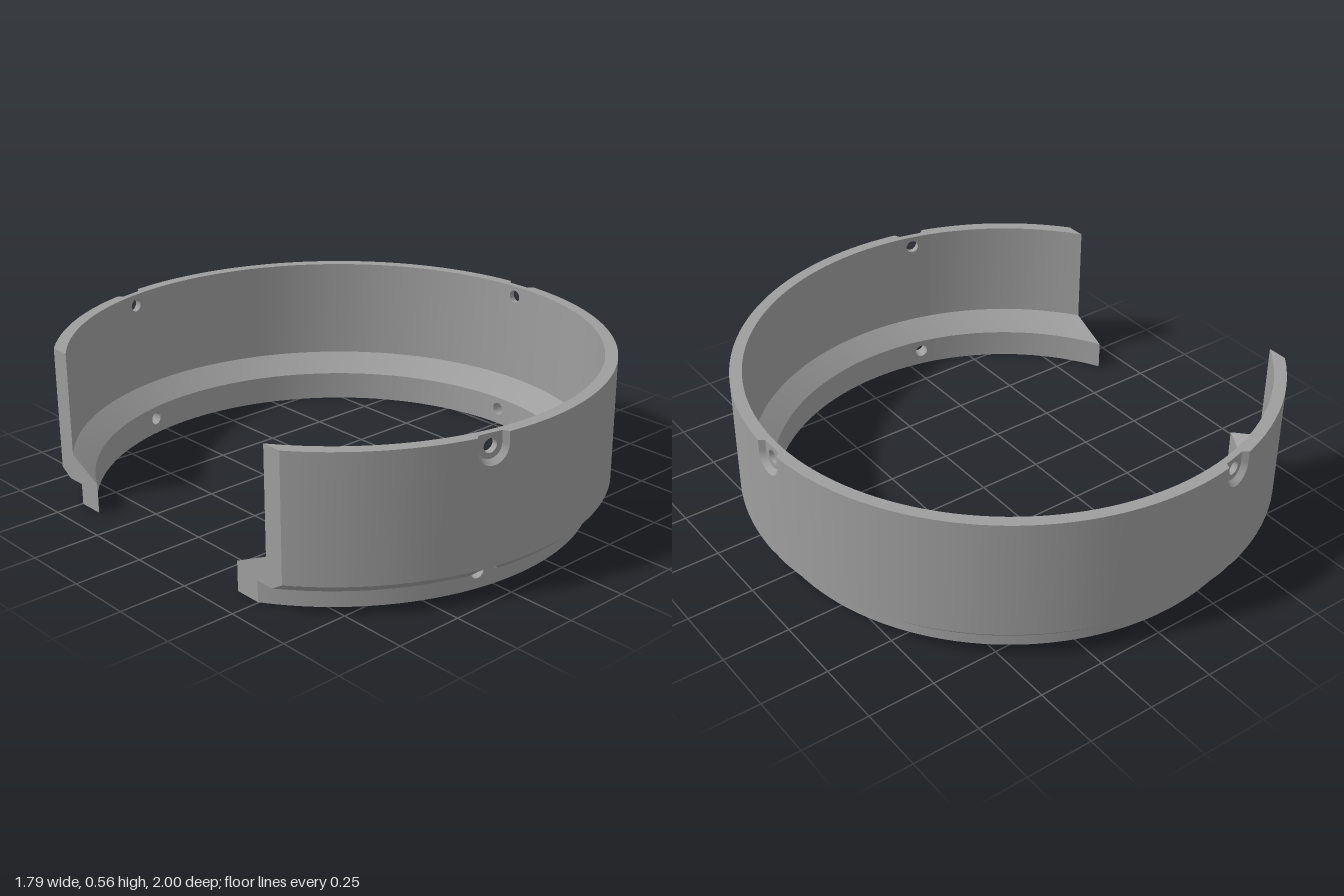
import * as THREE from 'three';

const CX = -0.107, CUT = -0.786;          // ring axis, and flat cut plane measured from it
const TOP = 0.565, W = 0.075;             // height, half angle of the panels around the screw holes
const Y0 = 0.078, Y1 = 0.108;             // chamfer bottom and top
const HOLE = 0.025, HIGH = 0.522, LOW = 0.062;
const HOLE_ANGLE = (2 * Math.PI) / 3.5;
// closed cross-section [radius, y]
const P = {
  lipIn: [0.88, 0], neckLow: [0.93, 0], neckTop: [0.93, Y0], shoulder: [0.97, Y0],
  wallLow: [1, Y1], wallTop: [1, TOP], rimIn: [0.955, TOP], coneTop: [0.955, 0.18], coneLow: [0.88, 0.11],
};
const LOOP = Object.values(P);
const mat = new THREE.MeshStandardMaterial({ color: 0x9e9e9e, side: THREE.DoubleSide });

function addMesh(parent, geo, name) {
  const m = new THREE.Mesh(geo, mat);
  m.name = name;
  parent.add(m);
}

// surface ruled between two rows of points
function strip(a, b) {
  const pos = [], idx = [];
  a.forEach((p, i) => {
    pos.push(...p, ...b[i]);
    if (i) { const k = 2 * i; idx.push(k - 2, k - 1, k, k, k - 1, k + 1); }
  });
  const g = new THREE.BufferGeometry();
  g.setAttribute('position', new THREE.Float32BufferAttribute(pos, 3));
  g.setIndex(idx);
  g.computeVertexNormals();
  return g;
}

const endAngle = r => Math.acos(CUT / r);

// revolve one edge of the cross-section; null stands for the flat cut
function arcSurface(p, q, from, to) {
  const n = Math.max(4, Math.ceil(((to ?? 2.4) - (from ?? -2.4)) / 0.045));
  const row = ([r, y]) => Array.from({ length: n + 1 }, (_, i) => {
    const t = THREE.MathUtils.lerp(from ?? -endAngle(r), to ?? endAngle(r), i / n);
    return [r * Math.cos(t), y, r * Math.sin(t)];
  });
  return strip(row(p), row(q));
}

const arc = (rad, cy, a0, a1, n) => Array.from({ length: n + 1 }, (_, i) => {
  const a = a0 + (a1 - a0) * i / n;
  return [rad * Math.cos(a), cy + rad * Math.sin(a)];
});
const line = (s0, s1, y) => Array.from({ length: 9 }, (_, i) => [s0 + (s1 - s0) * i / 8, y]);
const bend = r => s => Math.sqrt(r * r - s * s);
const edge = r => r * Math.sin(W);

// split a triangle at its edge midpoints so that it can follow a curve
function split([a, b, c]) {
  const mid = (p, q) => p.clone().lerp(q, 0.5);
  const ab = mid(a, b), bc = mid(b, c), ca = mid(c, a);
  return [[a, ab, ca], [ab, b, bc], [ca, bc, c], [ab, bc, ca]];
}

// outline with an optional round hole, wrapped on a cylinder (or flat at depth x)
function sheet(outline, holeY, { r, x }) {
  const outer = outline.map(p => new THREE.Vector2(...p));
  const hole = holeY ? arc(HOLE, holeY, 0, -2 * Math.PI, 24).slice(0, -1).map(p => new THREE.Vector2(...p)) : [];
  const all = [...outer, ...hole];
  if (THREE.ShapeUtils.isClockWise(outer)) outer.reverse();
  all.splice(0, outer.length, ...outer);
  let tris = THREE.ShapeUtils.triangulateShape(outer, holeY ? [hole] : []).map(f => f.map(i => all[i]));
  if (r) tris = tris.flatMap(split).flatMap(split);
  const pos = [], nor = [];
  for (const p of tris.flat()) {
    const d = r ? bend(r)(p.x) : x;
    pos.push(d, p.y, -p.x);
    nor.push(r ? d / r : 1, 0, r ? -p.x / r : 0);
  }
  const g = new THREE.BufferGeometry();
  g.setAttribute('position', new THREE.Float32BufferAttribute(pos, 3));
  g.setAttribute('normal', new THREE.Float32BufferAttribute(nor, 3));
  return g;
}

// row of [s, y] points placed at the depth given by f(s, y)
const place = (pts, f) => pts.map(([s, y]) => [f(s, y), y, -s]);

function holePanel() {
  const g = new THREE.Group();
  const FLOOR = 0.979, ARCH = 0.05;
  const slot = rad => [[rad, TOP], ...arc(rad, HIGH, 0, -Math.PI, 24), [-rad, TOP]];
  const archFrom = y => Math.asin((y - LOW) / ARCH);
  const archOver = (y, n) => arc(ARCH, LOW, archFrom(y), Math.PI - archFrom(y), n);
  const e = edge(1);

  // outer wall with the slot at the top and the arch at the bottom
  addMesh(g, sheet([[-e, Y1], ...archOver(Y1, 8).reverse(), [e, Y1], [e, TOP], ...slot(0.06), [-e, TOP]],
    null, { r: 1 }), 'outerWallPanel');
  // tapered slot and its floor
  addMesh(g, strip(place(slot(0.06), bend(1)), place(slot(0.045), () => FLOOR)), 'slotTaper');
  addMesh(g, sheet(slot(0.045), HIGH, { x: FLOOR }), 'slotFloor');
  // rim beside and behind the slot
  const rim = [[-e, bend(1)(e)], [-0.06, bend(1)(0.06)], [-0.045, FLOOR], [-0.02, FLOOR], [0, FLOOR],
    [0.02, FLOOR], [0.045, FLOOR], [0.06, bend(1)(0.06)], [e, bend(1)(e)]];
  const ei = edge(0.955);
  addMesh(g, strip(rim.map(([s, d]) => [d, TOP, -s]),
    rim.map(([s]) => { const t = THREE.MathUtils.clamp(s, -ei, ei); return [bend(0.955)(t), TOP, -t]; })), 'rimPanel');

  // neck face running up into the arch
  const n = edge(0.93), l = edge(0.88);
  addMesh(g, sheet([...line(-n, n, 0), [n, Y0], ...archOver(Y0, 20), [-n, Y0]], LOW, { r: 0.93 }), 'neckPanel');
  const chamferR = y => 0.97 + y - Y0;
  const outer = (s, y) => bend(y < Y1 ? chamferR(y) : 1)(s);
  addMesh(g, strip(place(archOver(Y0, 20), bend(0.93)), place(archOver(Y0, 20), outer)), 'archWall');

  // chamfer and shoulder on both sides of the arch
  for (const side of [-1, 1]) {
    const ys = [0, 0.25, 0.5, 0.75, 1].map(t => THREE.MathUtils.lerp(Y0, Y1, t));
    const near = ys.map(y => [side * Math.sqrt(ARCH ** 2 - (y - LOW) ** 2), y]);
    const far = ys.map(y => [side * edge(chamferR(y)), y]);
    addMesh(g, strip(place(near, outer), place(far, outer)), 'chamferPanel');
    addMesh(g, strip(place([near[0], [side * n, Y0]], bend(0.93)),
      place([near[0], far[0]], bend(0.97))), 'shoulderPanel');
  }

  // inner faces
  addMesh(g, sheet([...line(-ei, ei, 0.18), ...line(ei, -ei, TOP)], HIGH, { r: 0.955 }), 'innerWallPanel');
  addMesh(g, sheet([...line(-l, l, 0), ...line(l, -l, 0.11)], LOW, { r: 0.88 }), 'lipPanel');

  // screw hole bores
  const high = arc(HOLE, HIGH, 0, 2 * Math.PI, 24), low = arc(HOLE, LOW, 0, 2 * Math.PI, 24);
  addMesh(g, strip(place(high, bend(0.955)), place(high, () => FLOOR)), 'upperBore');
  addMesh(g, strip(place(low, bend(0.88)), place(low, bend(0.93))), 'lowerBore');
  return g;
}

export function createModel() {
  const model = new THREE.Group();
  model.name = 'cutRing';
  const ring = new THREE.Group();
  ring.name = 'ring';
  ring.position.x = CX;
  model.add(ring);

  // plain faces: the underside and inner cone run all the way round
  addMesh(ring, arcSurface(P.lipIn, P.neckLow, null, null), 'underside');
  addMesh(ring, arcSurface(P.coneTop, P.coneLow, null, null), 'innerCone');

  // the other faces fill the spans between hole panels
  const faces = [['neck', 'neckLow', 'neckTop'], ['shoulder', 'neckTop', 'shoulder'], ['chamfer', 'shoulder', 'wallLow'],
    ['outerWall', 'wallLow', 'wallTop'], ['rim', 'wallTop', 'rimIn'], ['innerWall', 'rimIn', 'coneTop'], ['lip', 'coneLow', 'lipIn']];
  const spans = [[null, -HOLE_ANGLE - W], [-HOLE_ANGLE + W, -W], [W, HOLE_ANGLE - W], [HOLE_ANGLE + W, null]];
  for (const [from, to] of spans)
    for (const [name, a, b] of faces) addMesh(ring, arcSurface(P[a], P[b], from, to), name);

  // hole panels
  for (const t of [-HOLE_ANGLE, 0, HOLE_ANGLE]) {
    const panel = holePanel();
    panel.name = 'screwHolePanel';
    panel.rotation.y = -t;
    ring.add(panel);
  }

  // flat cut ends
  for (const side of [-1, 1]) {
    const pts = LOOP.map(([r, y]) => new THREE.Vector2(side * Math.sqrt(r * r - CUT * CUT), y));
    const cap = new THREE.ShapeGeometry(new THREE.Shape(pts));
    cap.rotateY(-Math.PI / 2);
    cap.translate(CUT, 0, 0);
    addMesh(ring, cap, 'cutEnd');
  }
  return model;
}
